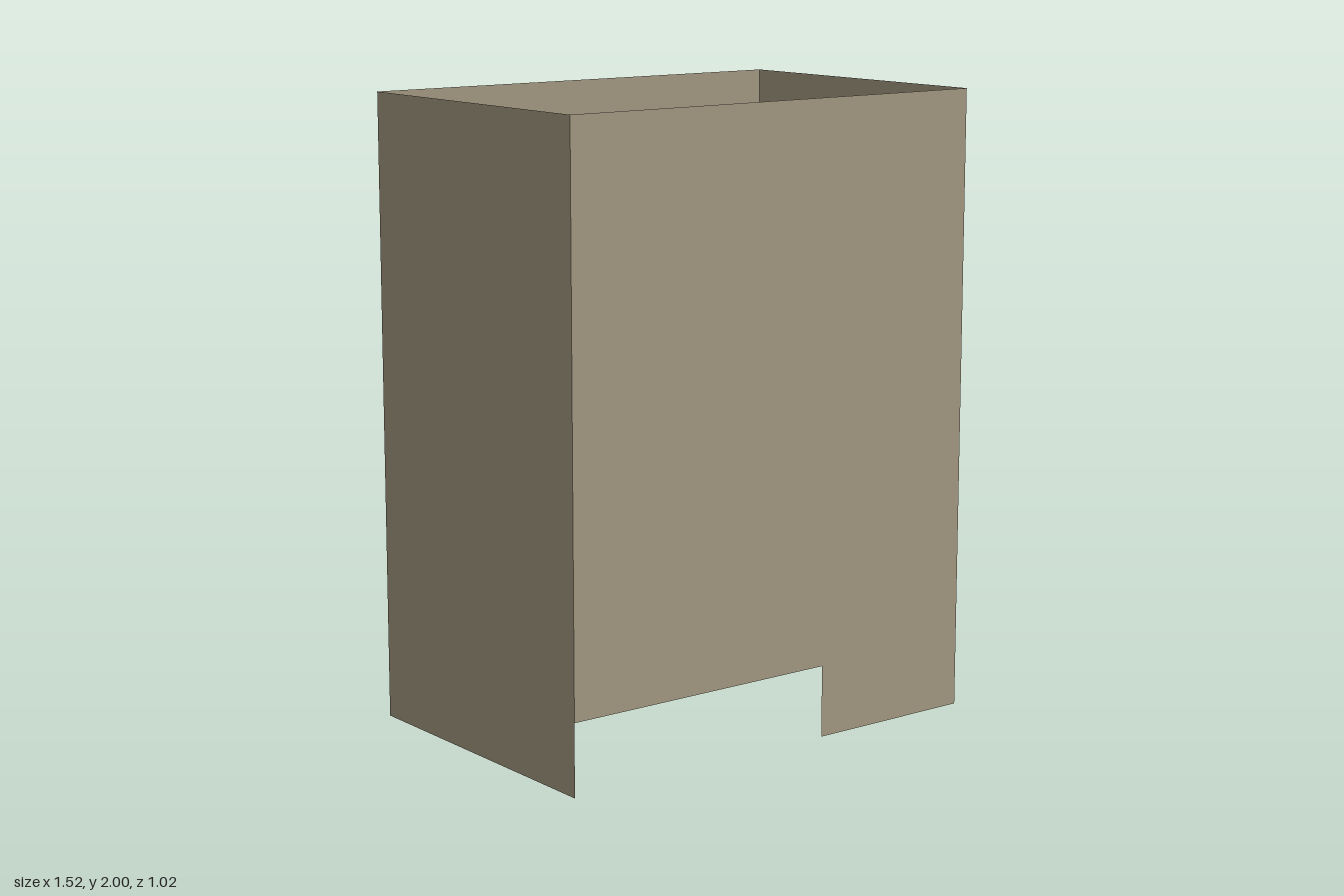
import * as THREE from 'three';

const W = 1.524, H = 2, D = 1.016; // overall width, height, depth
const NOTCH_X = 0.19, NOTCH_H = 0.23; // notch inner edge and height

export function createModel() {
  const model = new THREE.Group();
  model.name = 'openShell';
  const material = new THREE.MeshStandardMaterial({ color: 0xa0967f, side: THREE.DoubleSide });

  const addWall = (name, geometry, x, y, z, turn) => {
    const wall = new THREE.Mesh(geometry, material);
    wall.name = name;
    wall.position.set(x, y, z);
    wall.rotation.y = turn;
    model.add(wall);
  };

  // Front wall with a notch cut from its lower right corner
  const front = new THREE.Shape([
    [NOTCH_X, 0], [W / 2, 0], [W / 2, H], [-W / 2, H], [-W / 2, NOTCH_H], [NOTCH_X, NOTCH_H],
  ].map(([x, y]) => new THREE.Vector2(x, y)));
  addWall('frontWall', new THREE.ShapeGeometry(front), 0, 0, D / 2, 0);

  // Plain back and side walls; top and bottom stay open
  addWall('backWall', new THREE.PlaneGeometry(W, H), 0, H / 2, -D / 2, Math.PI);
  for (const [name, s] of [['leftWall', 1], ['rightWall', -1]]) {
    addWall(name, new THREE.PlaneGeometry(D, H), s * W / 2, H / 2, 0, s * Math.PI / 2);
  }
  return model;
}
